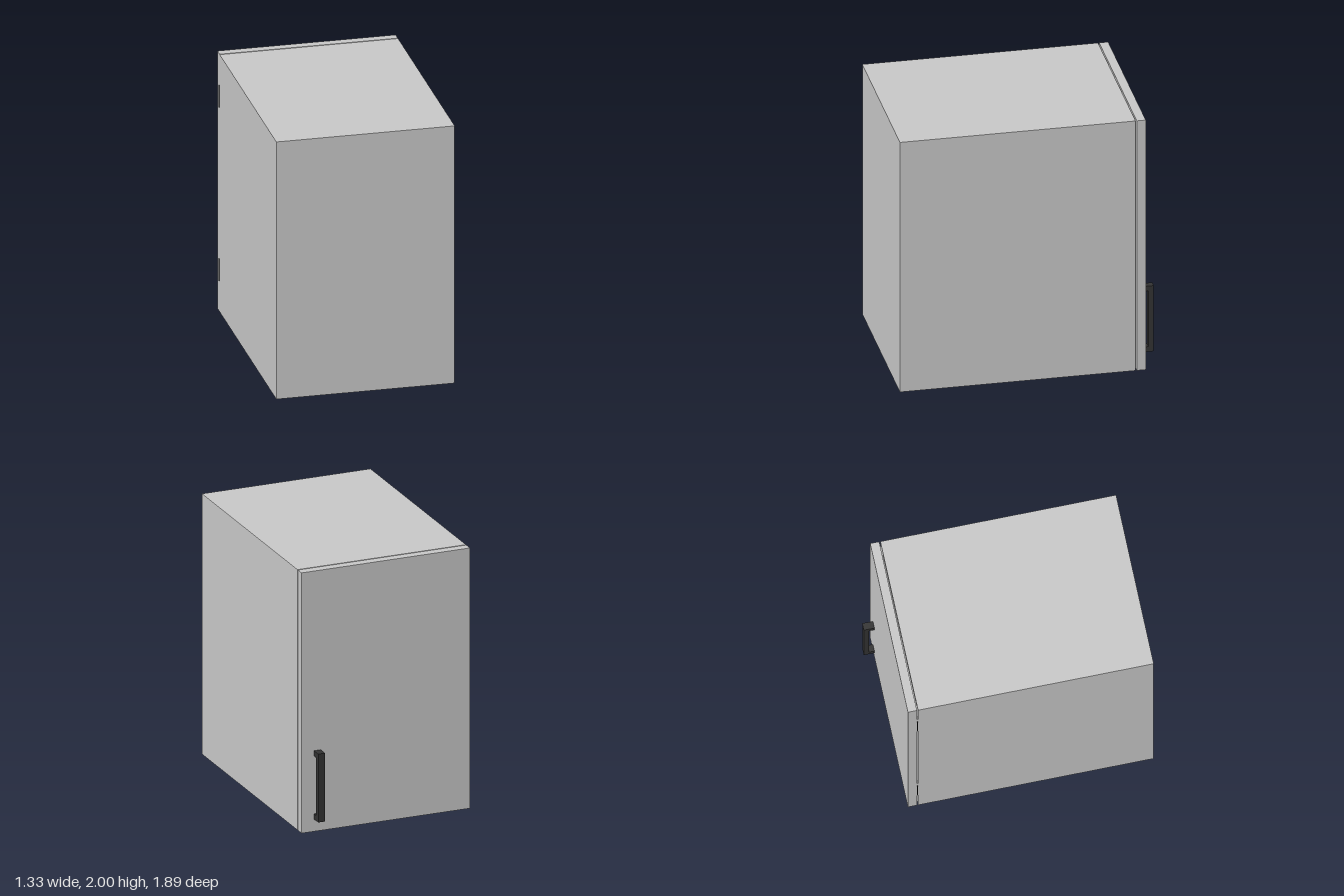
import * as THREE from 'three';

const material = (name, color) => {
  const m = new THREE.MeshStandardMaterial({ color });
  m.name = name;
  return m;
};

export function createModel() {
  const grey = material('light grey panel', 0xc8c8c8);
  const charcoal = material('charcoal handle', 0x333333);
  const black = material('black hinge', 0x1a1a1a);
  const model = new THREE.Group();
  model.name = 'wallCabinet';

  // Box between two corners
  const box = (name, mat, [x0, y0, z0], [x1, y1, z1], parent = model) => {
    const mesh = new THREE.Mesh(new THREE.BoxGeometry(x1 - x0, y1 - y0, z1 - z0), mat);
    mesh.position.set((x0 + x1) / 2, (y0 + y1) / 2, (z0 + z1) / 2);
    mesh.name = name;
    parent.add(mesh);
    return mesh;
  };

  const L = -0.66, R = 0.664, H = 2, wall = 0.07;
  const open = -0.792, closed = 0.945;

  // Hollow carcass: a rectangular tube closed at +z, open towards the door
  const frame = new THREE.Shape();
  frame.moveTo(L, 0).lineTo(R, 0).lineTo(R, H).lineTo(L, H).closePath();
  const hole = new THREE.Path();
  hole.moveTo(L + wall, wall).lineTo(L + wall, H - wall).lineTo(R - wall, H - wall).lineTo(R - wall, wall).closePath();
  frame.holes.push(hole);
  const tube = new THREE.ExtrudeGeometry(frame, { depth: closed - wall - open, bevelEnabled: false });
  const carcass = new THREE.Mesh(tube, grey);
  carcass.position.z = open;
  carcass.name = 'carcass';
  model.add(carcass);
  box('closedPanel', grey, [L, 0, closed - wall], [R, H, closed]);

  // Door, separated from the carcass by a narrow gap
  box('door', grey, [L, 0, -0.867], [R, H, -0.801]);

  // Hinges in the gap, each on a slightly taller plate
  for (const y of [0.325, 1.675]) {
    const hinge = new THREE.Group();
    hinge.name = 'hinge';
    box('hingePlate', grey, [L + 0.002, y - 0.122, -0.8], [L + 0.07, y + 0.122, -0.793], hinge);
    box('hingeLeaf', black, [-0.667, y - 0.086, -0.8005], [-0.58, y + 0.086, -0.7925], hinge);
    model.add(hinge);
  }

  // Bar handle with two square posts
  const handle = new THREE.Group();
  handle.name = 'handle';
  box('handleBar', charcoal, [0.513, 0.095, -0.946], [0.567, 0.62, -0.907], handle);
  for (const y of [0.095, 0.58]) {
    box('handlePost', charcoal, [0.513, y, -0.907], [0.567, y + 0.04, -0.866], handle);
  }
  model.add(handle);

  return model;
}
